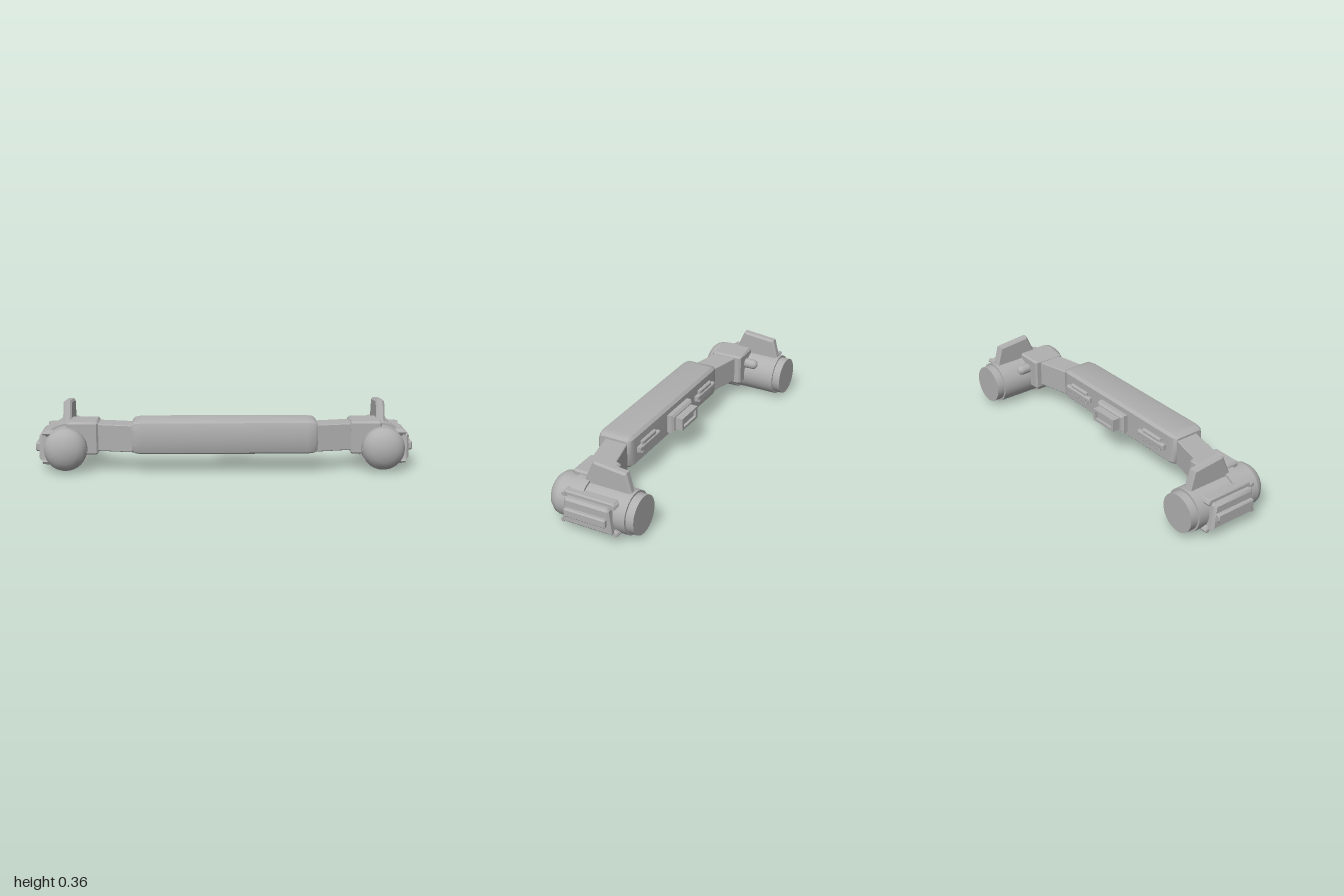
import * as THREE from 'three';
import { toCreasedNormals } from 'three/addons/utils/BufferGeometryUtils.js';

const grey = new THREE.MeshStandardMaterial({ color: 0xb0b0b0 });
grey.name = 'grey';

const POD_X = 0.835, POD_Y = 0.125;

const shapeOf = (pts) => new THREE.Shape(pts.map(([a, b]) => new THREE.Vector2(a, b)));

function extrude(pts, depth, bevel, thickness = bevel, segments = 1) {
  // the bevel stays inside the given outline and depth
  return new THREE.ExtrudeGeometry(shapeOf(pts), {
    depth: depth - 2 * thickness, bevelEnabled: bevel > 0, bevelSize: bevel,
    bevelOffset: -bevel, bevelThickness: thickness, bevelSegments: segments,
  }).translate(0, 0, thickness);
}

// outline given as [z, y], pushed from x0 to x1
function alongX(pts, x0, x1, bevel = 0, thickness = bevel, segments = 1) {
  const flipped = pts.map(([z, y]) => [-z, y]);
  return extrude(flipped, x1 - x0, bevel, thickness, segments).rotateY(Math.PI / 2).translate(x0, 0, 0);
}

// outline given as [x, z], raised from y0 to y1
function alongY(pts, y0, y1, bevel = 0) {
  return extrude(pts.map(([x, z]) => [x, -z]), y1 - y0, bevel).rotateX(-Math.PI / 2).translate(0, y0, 0);
}

const rect = (a0, a1, b0, b1) => [[a0, b0], [a1, b0], [a1, b1], [a0, b1]];

// rectangle with cut corners
const cutRect = (a0, a1, b0, b1, c) => [
  [a0 + c, b0], [a1 - c, b0], [a1, b0 + c], [a1, b1 - c],
  [a1 - c, b1], [a0 + c, b1], [a0, b1 - c], [a0, b0 + c],
];

// box with bevelled edges whose raised face looks backwards
const backBox = (x, y, w, h, zFront, zBack, bevel) =>
  extrude(rect(-w / 2, w / 2, -h / 2, h / 2), zFront - zBack, bevel).translate(x, y, zBack);

// turned part around the pod axis, points as [radius, z] from back to front
const turned = (pts) =>
  new THREE.LatheGeometry(pts.map(([r, z]) => new THREE.Vector2(r, z)), 40)
    .rotateX(Math.PI / 2).translate(POD_X, POD_Y, 0);

function mirrored(geometry) {
  const g = geometry.clone().scale(-1, 1, 1);
  for (const name of ['position', 'normal']) {
    const a = g.attributes[name];
    for (let i = 0; i < a.count; i += 3) {
      const p = [a.getX(i), a.getY(i), a.getZ(i)];
      a.setXYZ(i, a.getX(i + 2), a.getY(i + 2), a.getZ(i + 2));
      a.setXYZ(i + 2, ...p);
    }
  }
  return toCreasedNormals(g, 0.6);
}

export function createModel() {
  const model = new THREE.Group();
  model.name = 'sensorBar';

  const add = (parent, name, geometry) => {
    const mesh = new THREE.Mesh(geometry, grey);
    mesh.name = name;
    parent.add(mesh);
  };

  // central bar with rounded corners and tapered ends
  const bar = new THREE.Group();
  bar.name = 'centralBar';
  model.add(bar);
  const barProfile = [
    [0.045, 0.105], [0.2, 0.105], [0.22, 0.115], [0.23, 0.15], [0.231, 0.194],
    [0.23, 0.238], [0.22, 0.272], [0.2, 0.282], [0.045, 0.282], [0.03, 0.267], [0.03, 0.12],
  ];
  add(bar, 'barBody', toCreasedNormals(alongX(barProfile, -0.485, 0.485, 0.018, 0.05, 2), 0.6));

  // socket in the middle of the back, with a rim and a recessed face
  add(bar, 'socketBase', toCreasedNormals(backBox(0, 0.194, 0.22, 0.105, 0.035, -0.012, 0.012), 0.4));
  const frame = shapeOf(rect(-0.085, 0.085, -0.035, 0.035));
  frame.holes.push(new THREE.Path(rect(-0.07, 0.07, -0.02, 0.02).map(([a, b]) => new THREE.Vector2(a, b))));
  add(bar, 'socketRim', new THREE.ExtrudeGeometry(frame, { depth: 0.045, bevelEnabled: false })
    .translate(0, 0.194, -0.055));
  add(bar, 'socketFace', new THREE.BoxGeometry(0.142, 0.042, 0.03).translate(0, 0.194, -0.025));

  // two latches beside the socket
  for (const x of [-0.315, 0.315]) {
    add(bar, 'latchStrip', toCreasedNormals(backBox(x, 0.194, 0.21, 0.03, 0.035, 0.008, 0.006), 0.4));
    add(bar, 'latchBlock', toCreasedNormals(backBox(x, 0.194, 0.14, 0.07, 0.035, 0.014, 0.006), 0.4));
  }

  // parts of the left side
  const parts = [];
  const part = (name, geometry, crease = 0.6) => parts.push([name, toCreasedNormals(geometry, crease)]);

  // slanted arm and the block that holds the pod
  part('arm', alongY([[0.46, 0.055], [0.69, 0.0], [0.69, 0.135], [0.46, 0.185]], 0.11, 0.253, 0.004));
  part('jointBlock', alongY(cutRect(0.665, 0.83, -0.03, 0.152, 0.01), 0.09, 0.265, 0.01), 0.4);

  // pod: body, rear cap, domed nose and clamp
  part('podBody', turned([[0, -0.207], [0.113, -0.207], [0.113, 0.182], [0, 0.182]]));
  part('podRearCap', turned([[0, -0.25], [0.102, -0.25], [0.102, -0.2]]));
  part('podNose', turned([[0.113, 0.18], [0.108, 0.201], [0.09, 0.222], [0.066, 0.237],
    [0.034, 0.247], [0, 0.25]]), 0.9);
  part('podClamp', turned([[0.105, 0.035], [0.124, 0.035], [0.124, 0.107], [0.105, 0.107]]));

  // upright fin on top
  part('fin', alongX([[0.075, 0.225], [-0.197, 0.225], [-0.167, 0.34], [0.017, 0.358]],
    POD_X - 0.023, POD_X + 0.023, 0.01), 0.3);

  // small hump on the inner shoulder
  part('shoulderHump', new THREE.CapsuleGeometry(0.028, 0.07, 6, 16)
    .rotateX(Math.PI / 2).translate(0.748, 0.197, -0.04));

  // outer side panel with a raised grip
  part('sidePanel', alongX([[0.128, 0.056], [-0.152, 0.056], [-0.148, 0.085], [-0.137, 0.185],
    [-0.127, 0.196], [0.103, 0.196], [0.113, 0.185], [0.124, 0.085]], 0.905, 0.98, 0.012), 0.4);
  part('sideGrip', alongX(cutRect(-0.13, 0.104, 0.102, 0.148, 0.006), 0.97, 1.0, 0.006), 0.4);

  // rails above and below the panel, each ending in hexagonal bolts
  for (const [y, z0, z1, dy] of [[0.2, -0.158, 0.13, 0.016], [0.053, -0.168, 0.14, -0.016]]) {
    part('rail', alongX(cutRect(z0, z1, y - 0.017, y + 0.017, 0.012), 0.895, 0.95, 0.006), 0.4);
    for (const z of [z0 + 0.006, z1 - 0.006]) {
      part('railBolt', new THREE.CylinderGeometry(0.012, 0.012, 0.07, 6)
        .rotateZ(Math.PI / 2).translate(0.925, y + dy * 0.1, z), 0.4);
    }
  }

  // the same parts on both sides
  for (const side of ['left', 'right']) {
    const group = new THREE.Group();
    group.name = side + 'Pod';
    for (const [name, geometry] of parts) {
      add(group, name, side === 'left' ? geometry : mirrored(geometry));
    }
    model.add(group);
  }
  return model;
}
